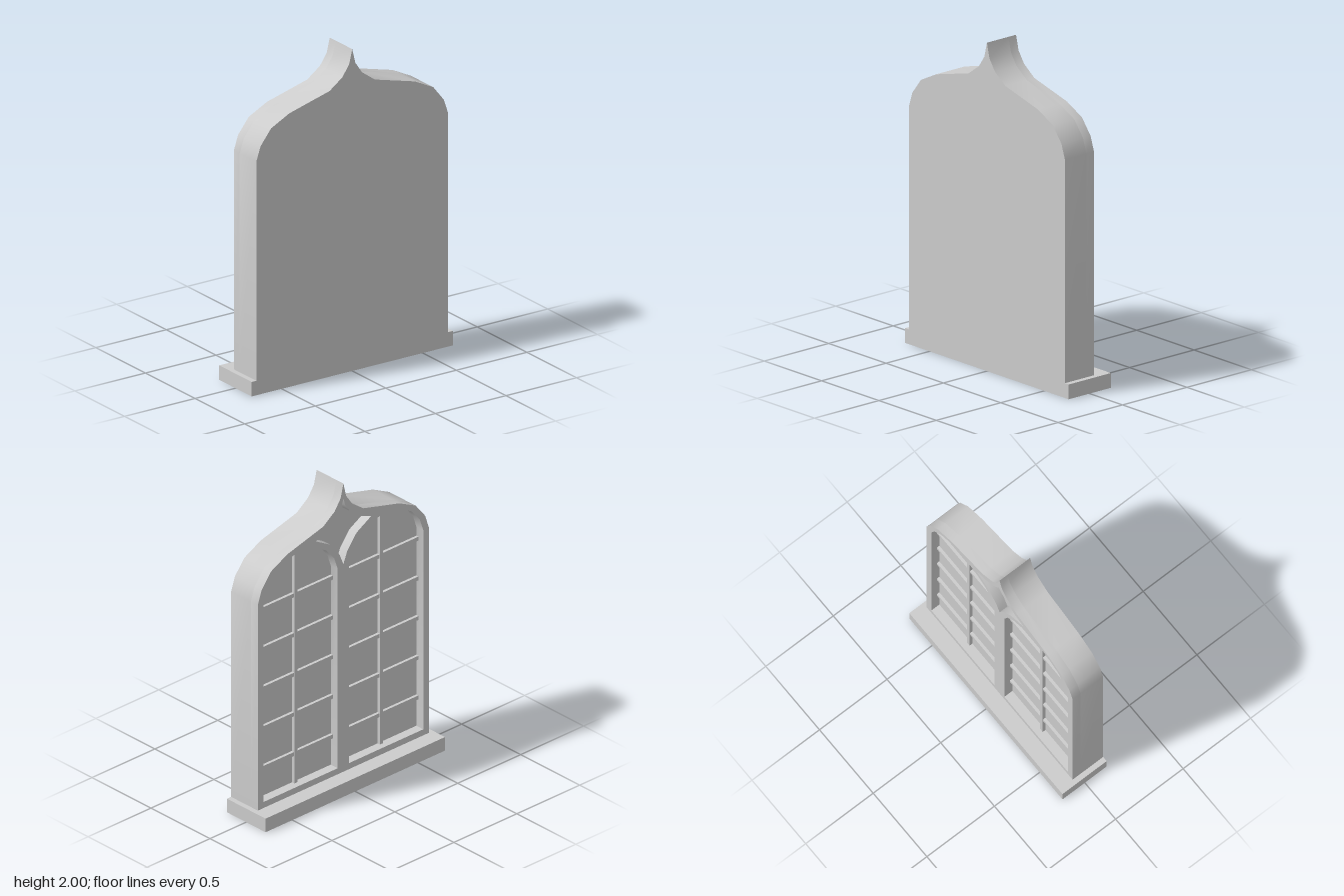
import * as THREE from 'three';
import { toCreasedNormals } from 'three/addons/utils/BufferGeometryUtils.js';

const BACK = 0.162, GLASS = -0.005, FRONT = -0.064; // x of wall back, glass and frame face
const SILL = 0.09, CENTRE = 0.34;                   // sill height, window centre offset

// Closed loop from the right half of a symmetric profile, listed bottom to top
function mirrored(half, cx = 0) {
  const left = half.filter(([x]) => x !== 0).reverse();
  return [
    ...half.map(([x, y]) => new THREE.Vector2(cx + x, y)),
    ...left.map(([x, y]) => new THREE.Vector2(cx - x, y)),
  ];
}

export function createModel() {
  const group = new THREE.Group();
  const mat = new THREE.MeshStandardMaterial({ color: 0xcccccc });

  const add = (name, geo) => {
    const mesh = new THREE.Mesh(geo, mat);
    mesh.name = name;
    group.add(mesh);
    return mesh;
  };
  const box = (name, x0, x1, y0, y1, z0, z1) => add(name,
    new THREE.BoxGeometry(x1 - x0, y1 - y0, z1 - z0)
      .translate((x0 + x1) / 2, (y0 + y1) / 2, (z0 + z1) / 2));
  // Extrudes a profile drawn in the z-y plane from x = from towards -x
  const slab = (name, shape, from, to) => {
    const geo = new THREE.ExtrudeGeometry(shape, { depth: from - to, bevelEnabled: false });
    geo.rotateY(-Math.PI / 2).translate(from, 0, 0);
    return add(name, toCreasedNormals(geo, 0.6));
  };

  // Ogee silhouette
  const outline = mirrored([
    [0.68, SILL], [0.68, 1.45], [0.65, 1.54], [0.575, 1.635], [0.445, 1.70],
    [0.16, 1.775], [0.07, 1.84], [0.022, 1.91], [0, 2],
  ]);
  // Arched opening of one window
  const arch = [
    [0.295, 0.13], [0.295, 1.45], [0.268, 1.53], [0.205, 1.608], [0.11, 1.662], [0, 1.685],
  ];
  // Recessed panel between the two arches and the ogee point
  const spandrel = [
    [0, 1.465], [0.03, 1.54], [0.105, 1.635], [0.22, 1.70],
    [0.13, 1.735], [0.05, 1.80], [0.015, 1.85], [0, 1.90],
  ];

  slab('wallPanel', new THREE.Shape(outline), BACK, GLASS);

  const frame = new THREE.Shape(outline);
  for (const loop of [mirrored(arch, CENTRE), mirrored(arch, -CENTRE), mirrored(spandrel)]) {
    frame.holes.push(new THREE.Path(loop));
  }
  slab('windowFrame', frame, GLASS, FRONT);

  // Glazing bars of both windows
  for (const side of [-1, 1]) {
    const c = side * CENTRE;
    box('verticalBar', GLASS - 0.02, GLASS, 0.12, 1.695, c - 0.013, c + 0.013);
    for (let i = 0; i < 5; i++) {
      const y = 0.325 + 0.263 * i;
      box('horizontalBar', GLASS - 0.018, GLASS, y - 0.013, y + 0.013, c - 0.305, c + 0.305);
    }
  }

  box('sill', -0.165, BACK, 0, SILL, -0.713, 0.713);
  return group;
}
